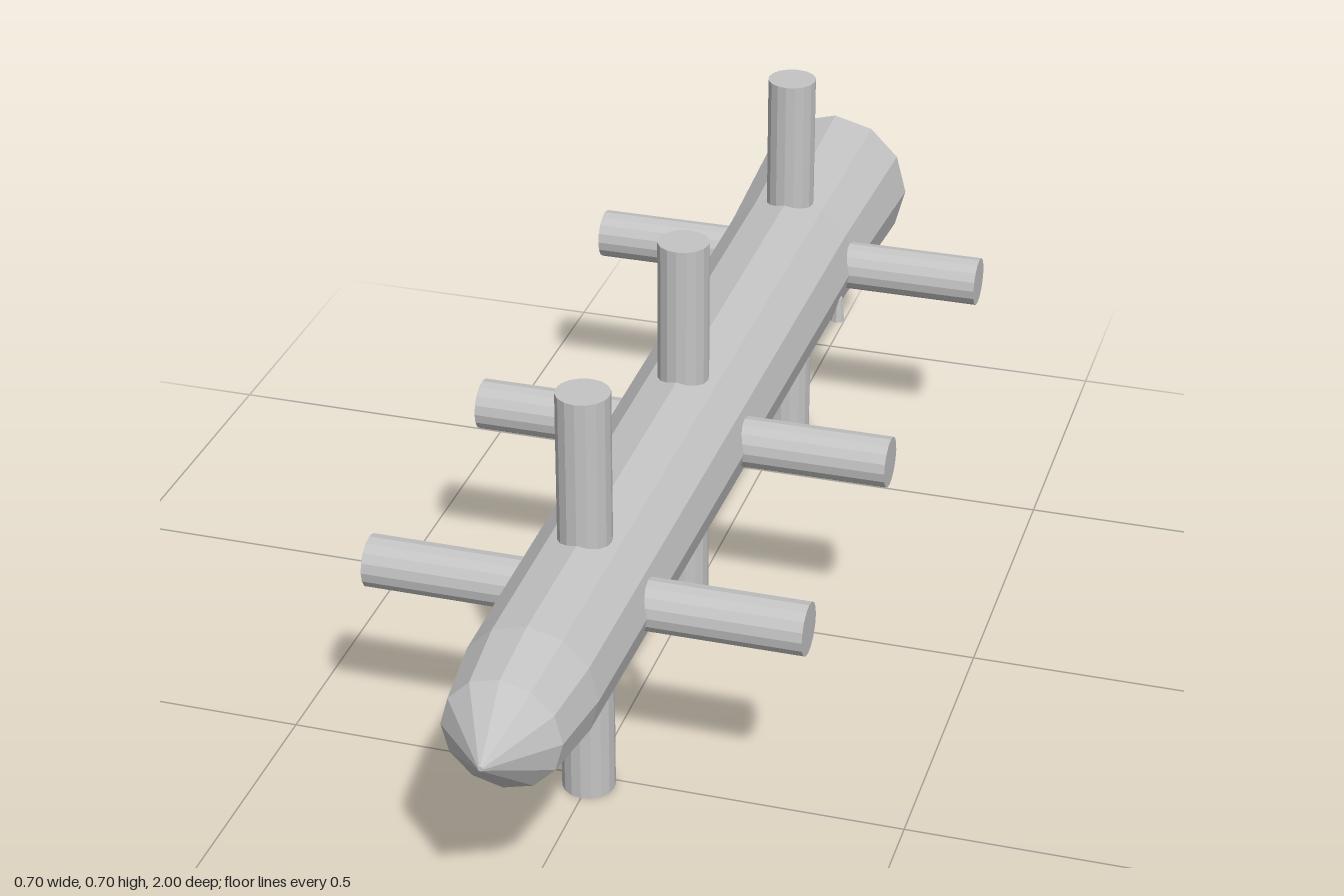
import * as THREE from 'three';

export function createModel() {
  const group = new THREE.Group();
  const grey = new THREE.MeshStandardMaterial({ color: 0xc4c4c4, flatShading: true });
  grey.name = 'lightGrey';
  const AXIS_Y = 0.348;

  function add(name, geometry, x, y, z) {
    const mesh = new THREE.Mesh(geometry, grey);
    mesh.name = name;
    mesh.position.set(x, y, z);
    group.add(mesh);
    return mesh;
  }

  // Twelve-sided tapering body with a closed tail and a pointed nose at +z
  const profile = [
    [0, -1], [0.138, -1], [0.122, -0.67],
    [0.107, 0.79], [0.092, 0.91], [0.004, 1], [0, 1],
  ].map(([r, z]) => new THREE.Vector2(r, z));
  const body = new THREE.LatheGeometry(profile, 12);
  body.rotateX(Math.PI / 2);
  add('body', body, 0, AXIS_Y, 0);

  // Three crosses of round posts running through the body
  const post = new THREE.CylinderGeometry(0.042, 0.042, 0.696, 16);
  for (const z of [0.52, 0, -0.673]) {
    add('verticalPost', post, 0, AXIS_Y, z);
    add('horizontalPost', post, 0, AXIS_Y, z).rotation.z = Math.PI / 2;
  }

  // Small flared pegs hanging from the left flank
  const peg = new THREE.CylinderGeometry(0.008, 0.012, 0.045, 8);
  for (const z of [0.405, -0.605]) add('peg', peg, 0.109, 0.2925, z);

  return group;
}
